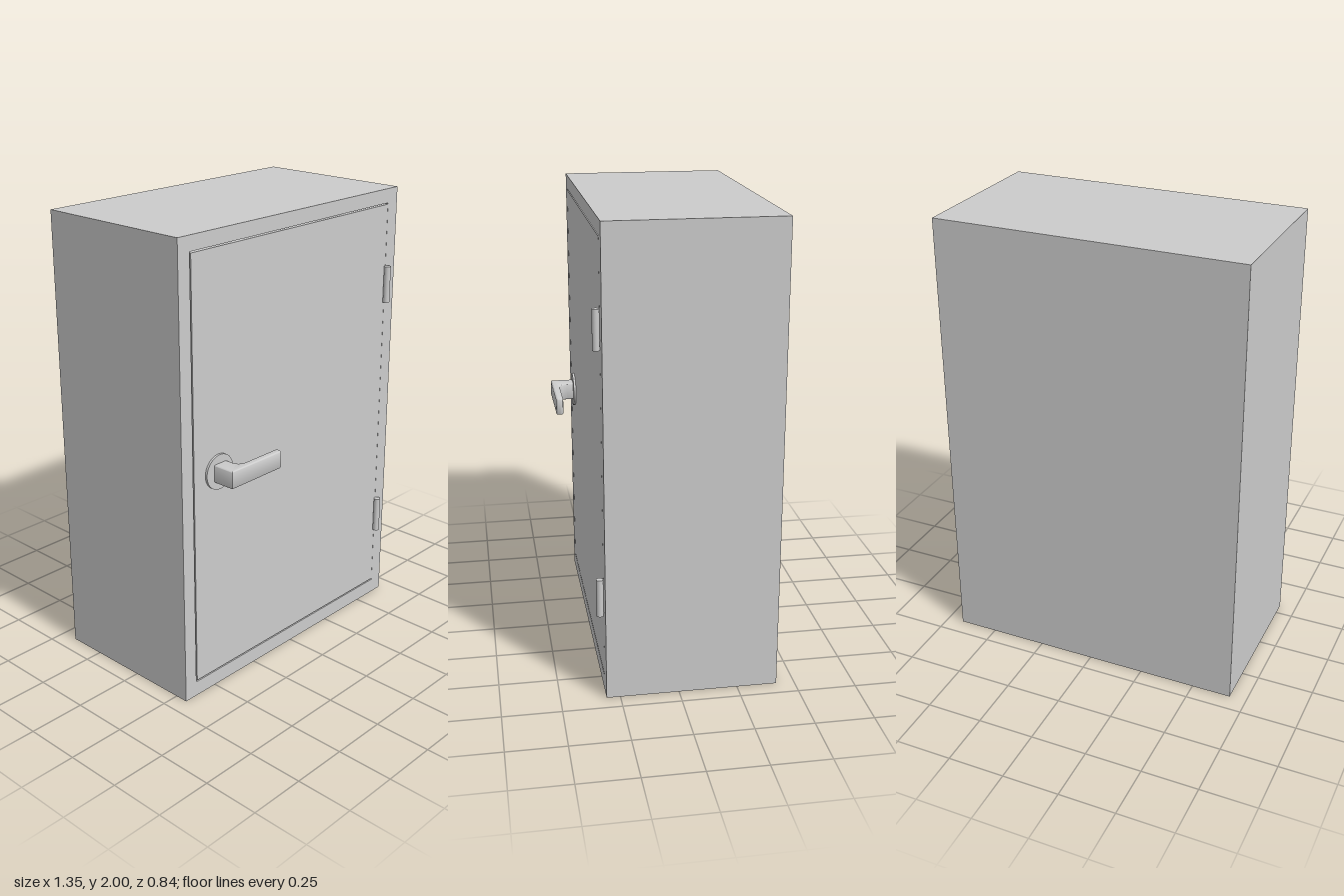
import * as THREE from 'three';
import { toCreasedNormals } from 'three/addons/utils/BufferGeometryUtils.js';

export function createModel() {
  const group = new THREE.Group();
  const material = new THREE.MeshStandardMaterial({ color: 0xcccccc });

  const add = (name, geometry, x = 0, y = 0, z = 0) => {
    const mesh = new THREE.Mesh(geometry, material);
    mesh.name = name;
    mesh.position.set(x, y, z);
    group.add(mesh);
    return mesh;
  };

  const rect = (target, x0, y0, x1, y1) => {
    target.moveTo(x0, y0).lineTo(x1, y0).lineTo(x1, y1).lineTo(x0, y1).closePath();
    return target;
  };

  const W = 1.35, H = 2, BACK = -0.422, FRONT = 0.308, WALL = 0.04;

  // Cabinet walls around the door opening, closed by a back panel
  const walls = rect(new THREE.Shape(), -W / 2, 0, W / 2, H);
  walls.holes.push(rect(new THREE.Path(), -0.613, 0.067, 0.611, 1.937));
  add('cabinetWalls', new THREE.ExtrudeGeometry(walls, {
    depth: FRONT - BACK - WALL, bevelEnabled: false,
  }), 0, 0, BACK + WALL);
  add('backPanel', new THREE.BoxGeometry(W, H, WALL), 0, H / 2, BACK + WALL / 2);

  // Flush door with a thin gap around it
  add('door', new THREE.BoxGeometry(1.217, 1.858, 0.04), 0.0015, 1.002, FRONT - 0.02);

  // Hinge barrels on the door's left edge
  for (const [name, y] of [['upperHinge', 1.573], ['lowerHinge', 0.433]]) {
    add(name, new THREE.CylinderGeometry(0.015, 0.015, 0.165, 32), 0.607, y, 0.323);
  }

  // Round plate behind the handle
  const plate = new THREE.CylinderGeometry(0.076, 0.076, 0.012, 48).rotateX(Math.PI / 2);
  add('handlePlate', plate, -0.468, 1.003, 0.312);

  // Lever handle: L-shaped plan with a filleted inner corner, extruded upwards
  const lever = new THREE.Shape();
  lever.moveTo(-0.502, 0.295);
  lever.lineTo(-0.428, 0.295);
  lever.lineTo(-0.428, 0.345);
  lever.quadraticCurveTo(-0.428, 0.385, -0.388, 0.385);
  lever.lineTo(-0.214, 0.385);
  lever.quadraticCurveTo(-0.2, 0.385, -0.2, 0.4);
  lever.quadraticCurveTo(-0.2, 0.418, -0.214, 0.418);
  lever.lineTo(-0.502, 0.418);
  lever.closePath();
  const bevel = 0.008, height = 0.078;
  const leverGeometry = new THREE.ExtrudeGeometry(lever, {
    depth: height - 2 * bevel, bevelEnabled: true, bevelSize: bevel,
    bevelThickness: bevel, bevelOffset: -bevel, bevelSegments: 4, curveSegments: 10,
  }).rotateX(Math.PI / 2);
  add('leverHandle', toCreasedNormals(leverGeometry, 0.6), 0, 1.003 + height / 2 - bevel, 0);

  return group;
}
